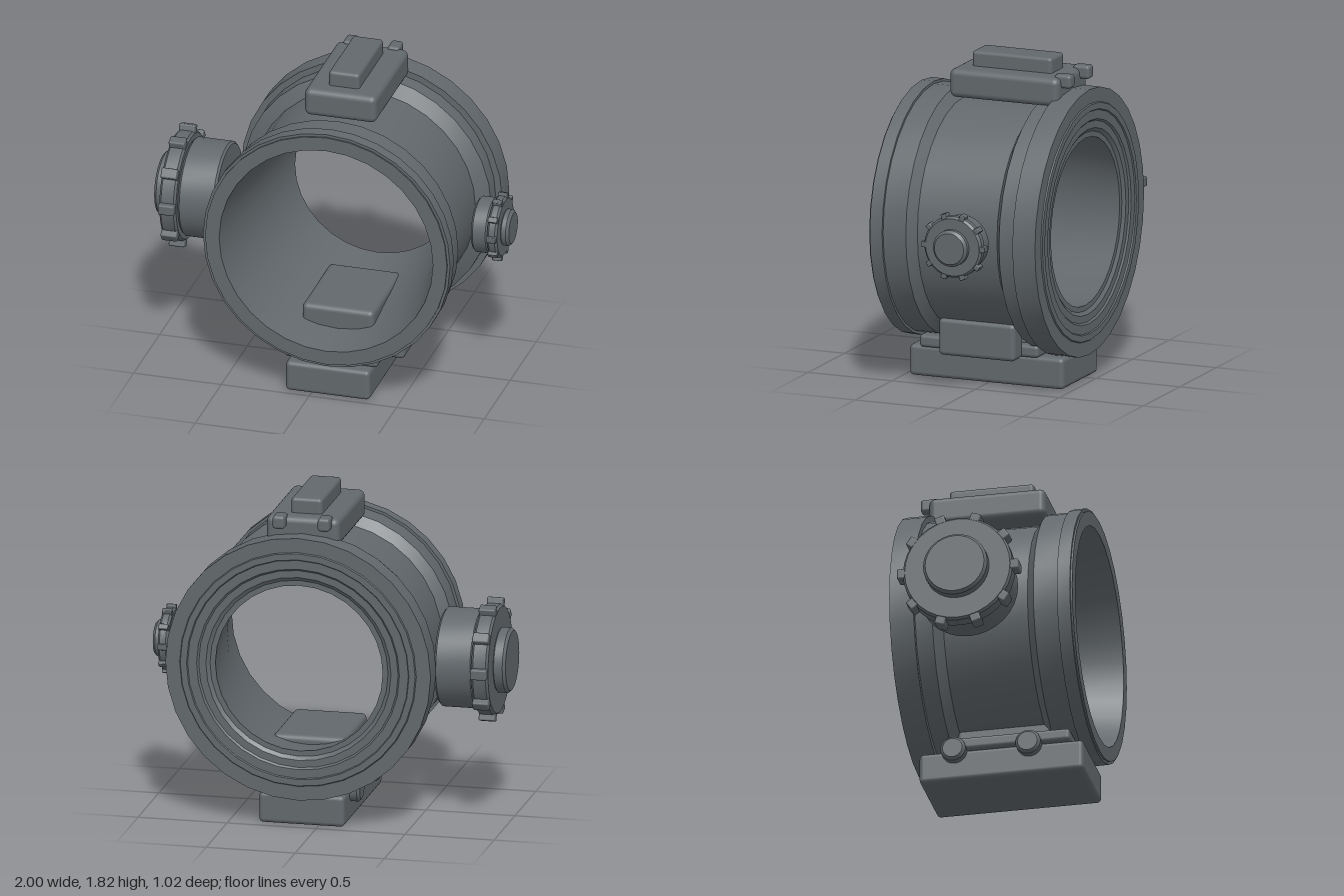
import * as THREE from 'three';
import { toCreasedNormals } from 'three/addons/utils/BufferGeometryUtils.js';
import { RoundedBoxGeometry } from 'three/addons/geometries/RoundedBoxGeometry.js';

const metal = new THREE.MeshStandardMaterial({ color: 0x62686c });
metal.name = 'gunmetal grey';

const CX = 0.1, CY = 0.9; // tube axis

function add(parent, name, geometry, x = 0, y = 0, z = 0) {
  const mesh = new THREE.Mesh(geometry, metal);
  mesh.name = name;
  mesh.position.set(x, y, z);
  parent.add(mesh);
  return mesh;
}

// Rounded box given by its limits on each axis
function block(parent, name, [x0, x1], [y0, y1], [z0, z1], radius) {
  const g = new RoundedBoxGeometry(x1 - x0, y1 - y0, z1 - z0, 3, radius);
  return add(parent, name, g, (x0 + x1) / 2, (y0 + y1) / 2, (z0 + z1) / 2);
}

// Turned part from [radius, height] pairs
function turned(points, segments = 32) {
  const g = new THREE.LatheGeometry(points.map(([r, h]) => new THREE.Vector2(r, h)), segments);
  return toCreasedNormals(g, 0.45);
}

// Solid disc between two heights with a bevelled rim
function disc(r, h0, h1, b) {
  return turned([[0, h0], [r - b, h0], [r, h0 + b], [r, h1 - b], [r - b, h1], [0, h1]]);
}

// Side knob whose local y axis points outwards along x
function knob(name, x, side, s) {
  const group = new THREE.Group();
  group.name = name;
  add(group, 'knobBody', disc(s.bodyR, 0, s.body, 0.012));
  add(group, 'knobGrip', disc(s.gripR, s.body, s.grip, 0.012));
  add(group, 'knobCap', disc(s.capR, s.grip - 0.01, s.cap, 0.015));
  for (let i = 0; i < 10; i++) {
    const t = (i / 10) * Math.PI * 2;
    const r = s.toothR - s.tooth / 2;
    const g = new RoundedBoxGeometry(s.tooth, s.grip - s.body - 0.004, s.tooth, 2, s.tooth * 0.15);
    const tooth = add(group, 'gripTooth', g, r * Math.sin(t), (s.body + s.grip) / 2, r * Math.cos(t));
    tooth.rotation.y = t;
  }
  group.rotation.z = -side * Math.PI / 2;
  group.position.set(x, CY, -0.06);
  return group;
}

export function createModel() {
  const model = new THREE.Group();
  model.name = 'ringHousing';

  // Hollow housing: outside from back to front, then the tapered bore, then the stepped rear face
  const tube = turned([
    [0.745, -0.505], [0.745, -0.37], [0.71, -0.37], [0.71, -0.275], [0.635, -0.23],
    [0.635, 0.245], [0.69, 0.29], [0.69, 0.425], [0.705, 0.425], [0.705, 0.498],
    [0.69, 0.498], [0.69, 0.508], [0.61, 0.508],
    [0.54, 0.1], [0.47, -0.48],
    [0.5, -0.48], [0.52, -0.495], [0.56, -0.495], [0.57, -0.505], [0.62, -0.505],
    [0.625, -0.512], [0.66, -0.512], [0.665, -0.505], [0.745, -0.505],
  ]);
  tube.rotateX(Math.PI / 2);
  add(model, 'tubeHousing', tube, CX, CY, 0);

  // Top module
  block(model, 'topBox', [-0.105, 0.305], [1.575, 1.735], [-0.405, 0.247], 0.035);
  block(model, 'topRail', [0.01, 0.185], [1.715, 1.82], [-0.315, 0.16], 0.02);
  for (const x of [-0.03, 0.223]) {
    block(model, 'rearStud', [x - 0.034, x + 0.034], [1.675, 1.75], [-0.46, -0.36], 0.018);
  }

  // Mount below the tube
  block(model, 'basePlate', [-0.145, 0.335], [0, 0.175], [-0.45, 0.47], 0.025);
  block(model, 'saddlePlate', [-0.17, 0.36], [0.17, 0.24], [-0.31, 0.4], 0.02);
  block(model, 'mountBlock', [-0.105, 0.305], [0.2, 0.45], [-0.25, 0.29], 0.03);
  block(model, 'clampLever', [0.345, 0.465], [0.162, 0.37], [-0.215, 0.24], 0.025);
  for (const z of [-0.25, 0.17]) {
    const bolt = add(model, 'clampBolt', disc(0.07, 0, 0.08, 0.015), -0.12, 0.17, z);
    bolt.rotation.z = Math.PI / 2;
  }

  // Side knobs
  model.add(knob('largeKnob', -0.622, -1, {
    bodyR: 0.275, body: 0.215, gripR: 0.307, grip: 0.31, capR: 0.18, cap: 0.378, toothR: 0.34, tooth: 0.058,
  }));
  model.add(knob('smallKnob', 0.8, 1, {
    bodyR: 0.155, body: 0.097, gripR: 0.172, grip: 0.155, capR: 0.102, cap: 0.2, toothR: 0.19, tooth: 0.032,
  }));

  return model;
}
